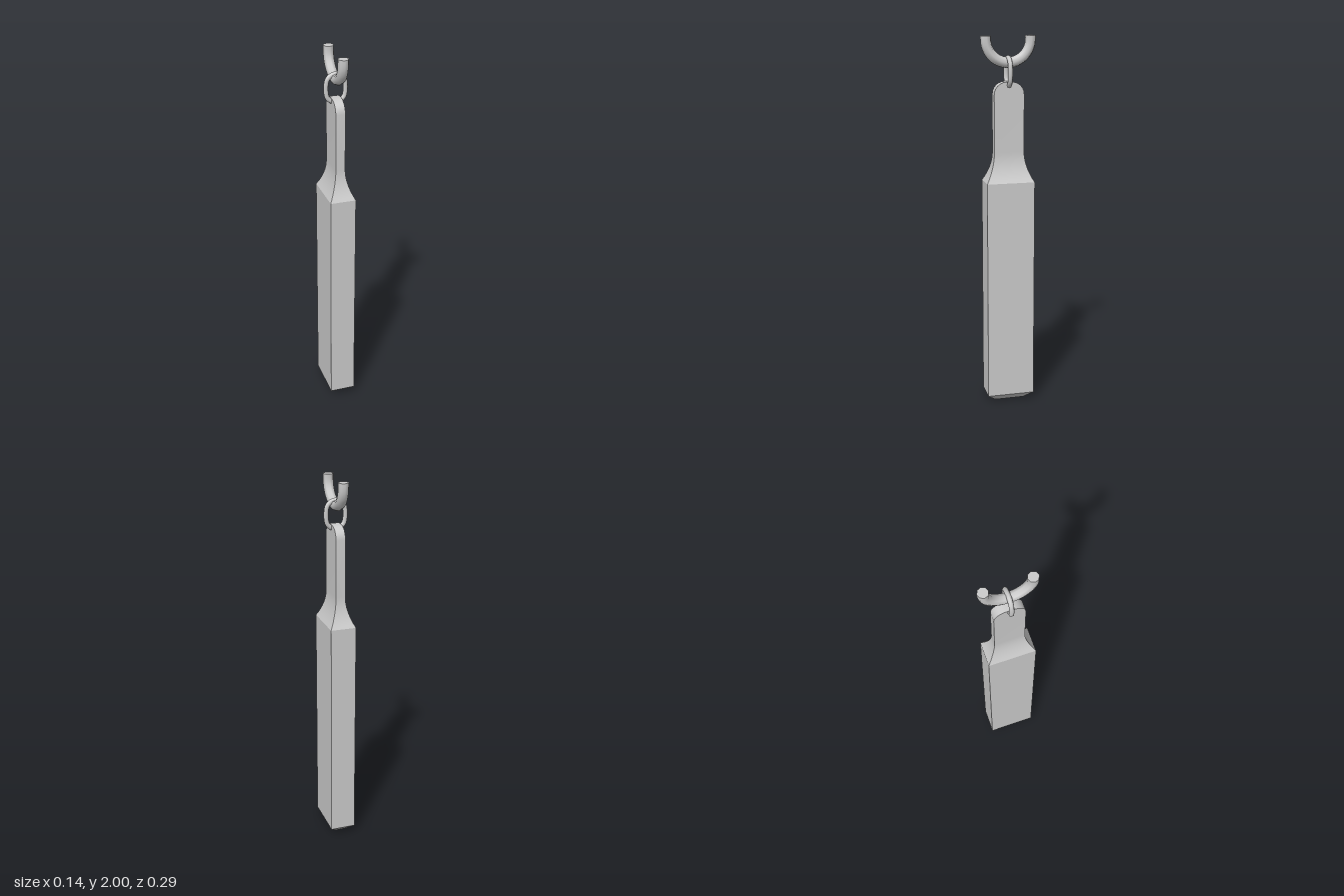
import * as THREE from 'three';
import { toCreasedNormals } from 'three/addons/utils/BufferGeometryUtils.js';

const material = new THREE.MeshStandardMaterial({ color: 0xcccccc });

function addMesh(group, name, geometry) {
  const mesh = new THREE.Mesh(geometry, material);
  mesh.name = name;
  group.add(mesh);
}

// Loft of rectangular sections [y, halfX, halfZ], listed from bottom to top
function rectangularLoft(rows) {
  const corners = [[-1, 1], [1, 1], [1, -1], [-1, -1]];
  const positions = [];
  const point = (row, i) => {
    const [sx, sz] = corners[i % 4];
    return [sx * row[1], row[0], sz * row[2]];
  };
  const quad = (a, b, c, d) => positions.push(...a, ...b, ...c, ...a, ...c, ...d);
  for (let r = 0; r < rows.length - 1; r++) {
    for (let i = 0; i < 4; i++) {
      quad(point(rows[r], i), point(rows[r], i + 1), point(rows[r + 1], i + 1), point(rows[r + 1], i));
    }
  }
  const first = rows[0], last = rows[rows.length - 1];
  quad(point(first, 3), point(first, 2), point(first, 1), point(first, 0));
  quad(point(last, 0), point(last, 1), point(last, 2), point(last, 3));
  const geometry = new THREE.BufferGeometry();
  geometry.setAttribute('position', new THREE.Float32BufferAttribute(positions, 3));
  return toCreasedNormals(geometry, 0.42);
}

function createWeight() {
  const body = { x: 0.068, z: 0.128 }, neck = { x: 0.025, z: 0.08 };
  // Chamfered foot and straight body
  const rows = [[0, neck.x, neck.z], [0.042, body.x, body.z]];
  // Concave shoulder from the body into the neck
  const steps = 8;
  for (let i = 0; i <= steps; i++) {
    const t = i / steps, k = (1 - t) ** 2;
    rows.push([1.24 + 0.16 * t, neck.x + (body.x - neck.x) * k, neck.z + (body.z - neck.z) * k]);
  }
  // Rounded tip of the flat neck
  const radius = 0.065;
  for (let i = 0; i <= 6; i++) {
    const a = (i / 6) * Math.PI / 2;
    rows.push([1.7 + radius * Math.sin(a), neck.x, neck.z - radius + radius * Math.cos(a)]);
  }
  return rectangularLoft(rows);
}

// Closed oval ring in the XY plane
function createLink() {
  const r = 0.05, straight = 0.023, middle = 1.815;
  const points = [];
  for (const side of [1, -1]) {
    for (let i = 0; i <= 6; i++) {
      const a = (i / 6) * Math.PI + (side > 0 ? 0 : Math.PI);
      points.push(new THREE.Vector3(r * Math.cos(a), middle + side * straight + r * Math.sin(a), 0));
    }
  }
  const path = new THREE.CatmullRomCurve3(points, true);
  return new THREE.TubeGeometry(path, 40, 0.0125, 8, true);
}

// Open U-shaped hook in the YZ plane, with flat ends
function addHook(group) {
  const r = 0.118, centre = 1.981, tube = 0.028;
  const points = [new THREE.Vector3(0, 2, r)];
  for (let i = 0; i <= 12; i++) {
    const a = (i / 12) * Math.PI;
    points.push(new THREE.Vector3(0, centre - r * Math.sin(a), r * Math.cos(a)));
  }
  points.push(new THREE.Vector3(0, 2, -r));
  addMesh(group, 'hook', new THREE.TubeGeometry(new THREE.CatmullRomCurve3(points), 28, tube, 8, false));
  for (const side of [1, -1]) {
    const cap = new THREE.CircleGeometry(tube, 8);
    cap.rotateX(-Math.PI / 2);
    cap.translate(0, 2, side * r);
    addMesh(group, side > 0 ? 'frontHookEnd' : 'backHookEnd', cap);
  }
}

export function createModel() {
  const group = new THREE.Group();
  group.name = 'hangingWeight';
  addMesh(group, 'weight', createWeight());
  addMesh(group, 'link', createLink());
  addHook(group);
  return group;
}
